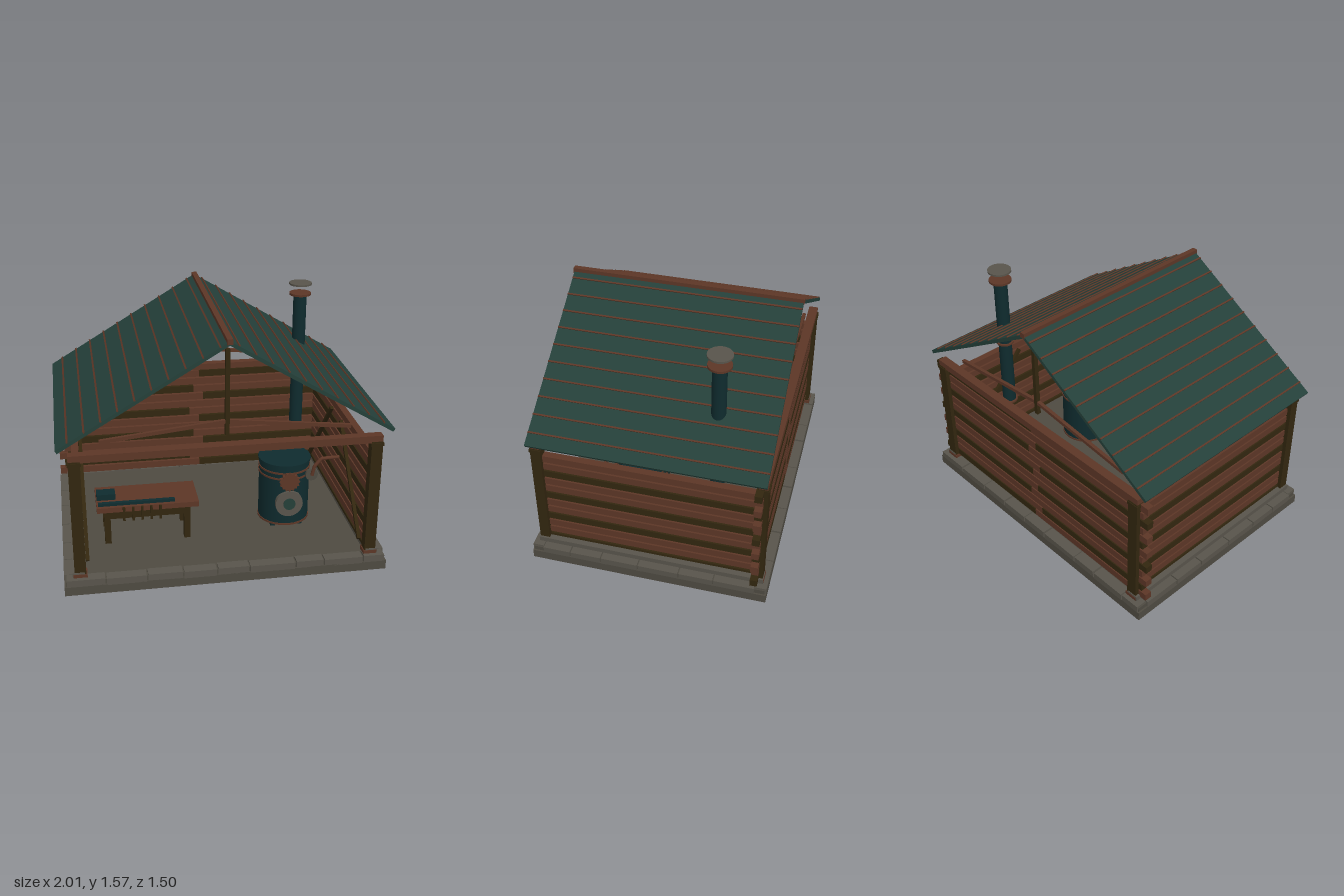
import * as THREE from 'three';

const material = (name, color) => Object.assign(new THREE.MeshStandardMaterial({ color }), { name });

export function createModel() {
  const model = new THREE.Group();
  model.name = 'logShelter';

  const brown = material('redBrownWood', 0x5c3626);
  const dark = material('darkWood', 0x32260f);
  const roofGreen = material('roofGreen', 0x243f39);
  const iron = material('darkTealIron', 0x0f2b2e);
  const stone = material('stone', 0x4e4a41);
  const pale = material('paleStone', 0x58544b);

  const add = (name, geometry, mat, x = 0, y = 0, z = 0, parent = model) => {
    const mesh = new THREE.Mesh(geometry, mat);
    mesh.name = name;
    mesh.position.set(x, y, z);
    parent.add(mesh);
    return mesh;
  };
  const box = (name, w, h, d, mat, x, y, z, parent) =>
    add(name, new THREE.BoxGeometry(w, h, d), mat, x, y, z, parent);
  const cyl = (name, r, h, mat, x, y, z, parent) =>
    add(name, new THREE.CylinderGeometry(r, r, h, 24), mat, x, y, z, parent);
  const group = (name) => {
    const g = new THREE.Group();
    g.name = name;
    model.add(g);
    return g;
  };
  // Square bar running between two points
  const bar = (name, from, to, size, mat, parent) => {
    const a = new THREE.Vector3(...from), b = new THREE.Vector3(...to);
    const mesh = box(name, size, size, a.distanceTo(b), mat, 0, 0, 0, parent);
    mesh.position.copy(a).add(b).multiplyScalar(0.5);
    mesh.lookAt(b);
    return mesh;
  };

  // Foundation slab with edging stones
  const base = group('foundation');
  box('slab', 1.98, 0.09, 1.48, stone, 0, 0.045, 0, base);
  box('plinth', 2, 0.06, 1.5, stone, 0, 0.03, 0, base);
  const frontJoints = [-0.99, -0.75, -0.5, -0.28, -0.07, 0.13, 0.42, 0.6, 0.85, 0.99];
  const sideJoints = [-0.68, -0.42, -0.2, 0.06, 0.3, 0.5, 0.68];
  for (const s of [-1, 1]) {
    for (let i = 0; i < frontJoints.length - 1; i++) {
      const a = frontJoints[i], b = frontJoints[i + 1];
      box('edgeStone', b - a - 0.01, 0.045, 0.07, pale, s * (a + b) / 2, 0.08 - (i % 2) * 0.004, s * 0.715, base);
    }
    for (let i = 0; i < sideJoints.length - 1; i++) {
      const a = sideJoints[i], b = sideJoints[i + 1];
      box('edgeStone', 0.07, 0.045, b - a - 0.008, pale, s * 0.965, 0.08, (a + b) / 2, base);
    }
    box('sideSill', 0.075, 0.035, 1.44, pale, s * 0.91, 0.118, 0, base);
  }

  // Corner posts with collars, and the two long top beams
  const frame = group('frame');
  for (const z of [-0.685, 0.685]) {
    for (const x of [-0.9, 0.9]) {
      box('cornerPost', 0.07, 0.78, 0.062, dark, x, 0.48, z, frame);
      box('postFoot', 0.084, 0.025, 0.074, brown, x, 0.112, z, frame);
      box('postCollar', 0.08, 0.02, 0.072, dark, x, 0.853, z, frame);
    }
    box('topBeam', 1.87, 0.046, 0.055, brown, 0, 0.885, z, frame);
  }

  // Back wall: two planks per row, ends alternating in length
  const backWall = group('backWall');
  const seams = [0.02, 0, -0.02, 0.05, 0, -0.05];
  for (let i = 0; i < 13; i++) {
    const end = i % 2 ? 0.96 : 0.995, seam = seams[i % 6], y = 0.842 - i * 0.058;
    [[-end, seam], [seam, end]].forEach(([a, b], side) => {
      const mat = (2 * i + side) % 3 === 1 ? dark : brown;
      box('backPlank', b - a, 0.047, 0.045, mat, (a + b) / 2, y, -0.668, backWall);
    });
  }

  // Side walls with diagonal braces on the inside
  for (const s of [-1, 1]) {
    const wall = group(s > 0 ? 'leftWall' : 'rightWall');
    for (let i = 0; i < 11; i++) {
      box('sidePlank', 0.045, 0.046, 1.32, i % 3 === 2 ? dark : brown, s * 0.888, 0.778 - i * 0.0587, 0, wall);
    }
    box('bottomPlank', 0.045, 0.02, 1.32, dark, s * 0.888, 0.143, 0, wall);
    for (const t of [-1, 1]) {
      bar('wallBrace', [s * 0.852, 0.16, t * 0.63], [s * 0.852, 0.75, t * 0.11], 0.022, dark, wall);
    }
  }

  // Trusses: king post and two low sloping ties at each gable
  for (const z of [-0.64, 0.64]) {
    const truss = group('truss');
    box('kingPost', 0.026, 0.53, 0.026, dark, 0, 1.217, z, truss);
    for (const s of [-1, 1]) bar('tie', [0, 1.037, z], [s * 0.75, 0.955, z], 0.022, brown, truss);
  }

  // Roof: each slope has a panel, seam ribs and rafters
  const roof = group('roof');
  const slope = Math.atan(0.6), length = Math.hypot(1, 0.6);
  for (const s of [-1, 1]) {
    const half = new THREE.Group();
    half.name = 'roofSlope';
    half.position.set(s * 0.497, 1.24, 0);
    half.rotation.z = -s * slope;
    roof.add(half);
    box('roofPanel', length, 0.022, 1.43, roofGreen, 0, 0, 0, half);
    for (let i = 0; i < 10; i++) {
      const x = 0.05 + i * 0.0975;
      box('seamRib', 0.01, 0.01, 1.43, brown, s * (x - 0.5) * length, 0.013, 0, half);
    }
    for (const z of [-0.62, -0.2, 0.21, 0.63]) {
      box('rafter', length - 0.03, 0.012, 0.02, dark, 0, -0.016, z, half);
    }
  }
  box('ridgeCap', 0.034, 0.034, 1.44, brown, 0, 1.548, 0, roof);

  // Chimney with rings and a raised rain cap
  const chimney = group('chimney');
  cyl('pipe', 0.044, 0.93, iron, 0.665, 1.018, -0.36, chimney);
  cyl('lowerRing', 0.056, 0.012, brown, 0.665, 0.553, -0.36, chimney);
  cyl('middleRing', 0.056, 0.012, brown, 0.665, 1.022, -0.36, chimney);
  cyl('topRing', 0.072, 0.014, brown, 0.665, 1.486, -0.36, chimney);
  cyl('rainCap', 0.075, 0.012, pale, 0.665, 1.555, -0.36, chimney);

  // Barrel stove with bands, feet, dials and crank
  const stove = group('barrelStove');
  const sx = 0.467, sz = 0.163;
  cyl('barrel', 0.165, 0.43, iron, sx, 0.335, sz, stove);
  for (const y of [0.128, 0.455, 0.495]) cyl('band', 0.17, 0.012, brown, sx, y, sz, stove);
  cyl('lid', 0.172, 0.012, iron, sx, 0.546, sz, stove);
  for (const x of [-0.09, 0.09]) {
    for (const z of [-0.09, 0.09]) box('foot', 0.03, 0.04, 0.03, iron, sx + x, 0.105, sz + z, stove);
  }
  const gear = new THREE.Shape();
  for (let i = 0; i < 32; i++) {
    const a = i * Math.PI / 16, r = i % 2 ? 0.056 : 0.067;
    gear[i ? 'lineTo' : 'moveTo'](r * Math.cos(a), r * Math.sin(a));
  }
  add('gearDial', new THREE.ExtrudeGeometry(gear, { depth: 0.022, bevelEnabled: false }), brown, sx, 0.44, 0.32, stove);
  const disc = (name, r, depth, mat, x, y, z) => {
    cyl(name, r, depth, mat, x, y, z, stove).rotation.x = Math.PI / 2;
  };
  disc('door', 0.09, 0.03, pale, sx, 0.283, 0.325);
  disc('doorWindow', 0.04, 0.008, roofGreen, sx, 0.283, 0.343);
  disc('crankHub', 0.04, 0.02, stone, 0.607, 0.487, 0.335);
  const crankPath = new THREE.CurvePath();
  const points = [[0.607, 0.487], [0.62, 0.55], [0.665, 0.602], [0.78, 0.605]]
    .map(([x, y]) => new THREE.Vector3(x, y, 0.35));
  for (let i = 0; i < 3; i++) crankPath.add(new THREE.LineCurve3(points[i], points[i + 1]));
  add('crank', new THREE.TubeGeometry(crankPath, 24, 0.012, 8), brown, 0, 0, 0, stove);

  // Work bench with a small box on top
  const bench = group('bench');
  box('benchTop', 0.65, 0.035, 0.29, brown, -0.45, 0.338, 0.2, bench);
  box('apron', 0.5, 0.065, 0.22, dark, -0.45, 0.288, 0.2, bench);
  for (const x of [-0.71, -0.2]) {
    for (const z of [0.09, 0.31]) box('benchLeg', 0.04, 0.23, 0.04, dark, x, 0.205, z, bench);
  }
  box('toolBox', 0.12, 0.04, 0.08, iron, -0.71, 0.375, 0.2, bench);

  // Tool rail with hanging pegs
  const rack = group('toolRack');
  box('rail', 0.47, 0.018, 0.025, iron, -0.535, 0.475, 0.51, rack);
  for (let i = 0; i < 5; i++) box('peg', 0.015, 0.09, 0.015, dark, -0.613 + i * 0.056, 0.397, 0.51, rack);

  return model;
}
